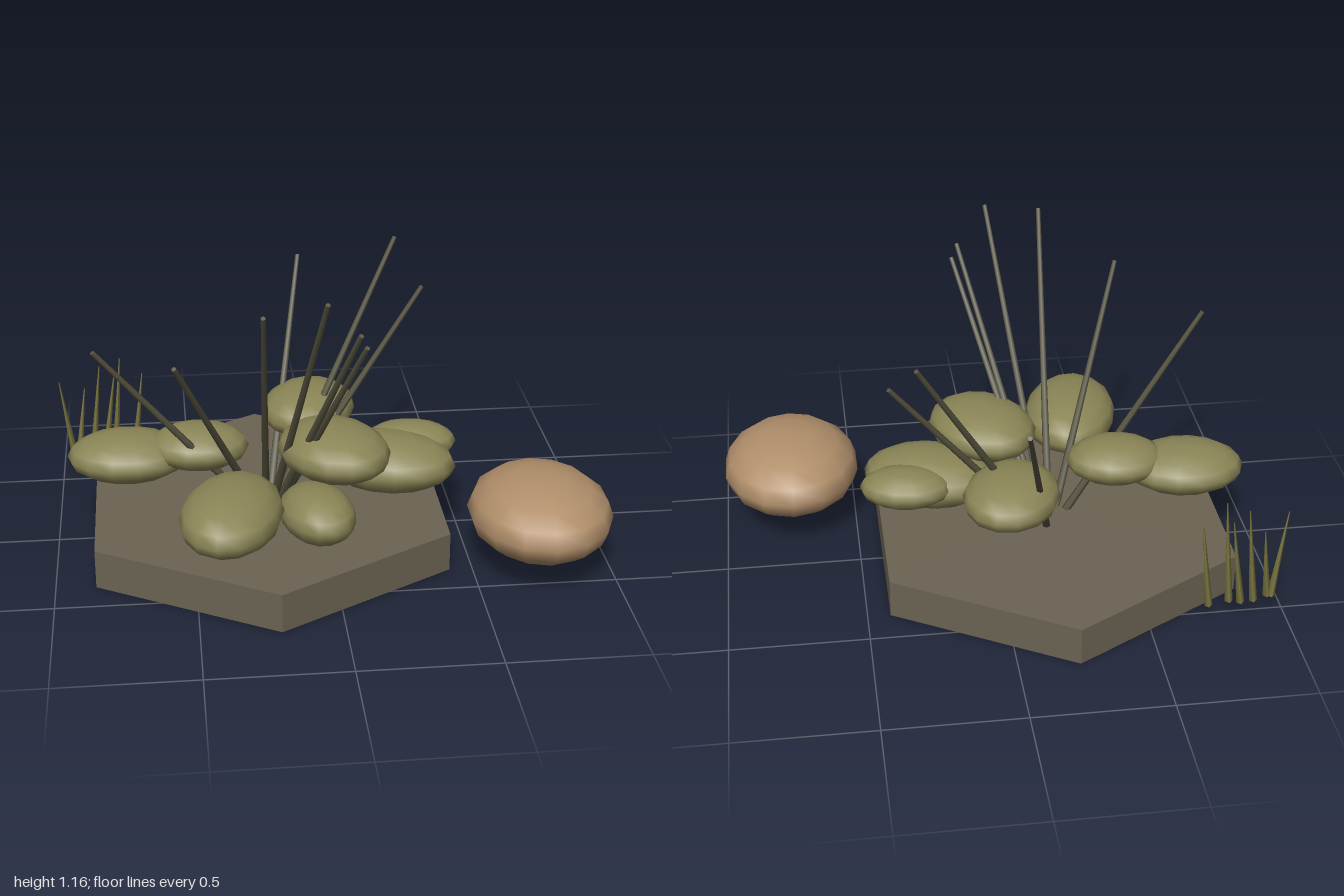
import * as THREE from 'three';

const mat = (name, color, side = THREE.FrontSide) => {
  const m = new THREE.MeshStandardMaterial({ color, side });
  m.name = name;
  return m;
};

export function createModel() {
  const model = new THREE.Group();
  model.name = 'succulentOnSlab';
  const stone = mat('slabStone', 0x6b6353);
  const leafGreen = mat('oliveLeaf', 0x8a8556);
  const stalkDark = mat('darkStalk', 0x56533f);
  const bladeGreen = mat('dryGrass', 0x7d7842);
  const clay = mat('clayRock', 0xb08e6a);

  const add = (name, geometry, material, parent = model) => {
    const mesh = new THREE.Mesh(geometry, material);
    mesh.name = name;
    parent.add(mesh);
    return mesh;
  };
  const group = (name) => {
    const g = new THREE.Group();
    g.name = name;
    model.add(g);
    return g;
  };

  // Flattened ball, its long axis turned by an angle from +x towards +z
  const ball = new THREE.SphereGeometry(1, 14, 8);
  const pebble = (name, material, parent, [x, y, z, long, high, short, degrees]) => {
    const mesh = add(name, ball, material, parent);
    mesh.position.set(x, y, z);
    mesh.scale.set(long, high, short);
    mesh.rotation.y = -THREE.MathUtils.degToRad(degrees);
  };

  // Tapered rod between two points
  const rod = (name, material, parent, from, to, r0, r1, sides) => {
    const a = new THREE.Vector3(...from), b = new THREE.Vector3(...to);
    const dir = b.clone().sub(a);
    const mesh = add(name, new THREE.CylinderGeometry(r1, r0, dir.length(), sides), material, parent);
    mesh.position.copy(a).add(b).multiplyScalar(0.5);
    mesh.quaternion.setFromUnitVectors(new THREE.Vector3(0, 1, 0), dir.normalize());
  };

  // Hexagonal slab
  const flatStone = new THREE.CylinderGeometry(0.735, 0.735, 0.145, 6).toNonIndexed();
  flatStone.computeVertexNormals();
  add('hexagonSlab', flatStone, stone).position.set(-0.22, 0.0725, 0);

  // Fleshy leaves: x, y, z, long, high, short radius, heading
  const leaves = group('leaves');
  [
    [-0.73, 0.333, -0.015, 0.222, 0.09, 0.162, 3],
    [-0.47, 0.37, 0.005, 0.186, 0.082, 0.142, 3],
    [-0.372, 0.317, 0.46, 0.267, 0.107, 0.18, 104],
    [-0.07, 0.288, 0.425, 0.18, 0.094, 0.13, 75],
    [0.01, 0.428, 0.21, 0.228, 0.098, 0.188, 57],
    [0.225, 0.31, 0.08, 0.252, 0.104, 0.175, 17],
    [0.325, 0.335, -0.037, 0.17, 0.072, 0.112, 8],
    [-0.042, 0.397, -0.24, 0.212, 0.09, 0.175, -67],
  ].forEach((leaf) => pebble('leaf', leafGreen, leaves, leaf));

  // Loose rock beside the slab
  pebble('rock', clay, model, [0.74, 0.222, 0.363, 0.31, 0.146, 0.26, 90]);

  // Long stalks: foot x, z, then tip x, y, z
  const stalks = group('stalks');
  [
    [-0.288, 0.03, -0.83, 0.85, 0.235],
    [-0.255, 0.06, -0.555, 0.92, 0.57],
    [-0.227, 0.065, -0.265, 1.12, 0.655],
    [-0.205, 0.065, -0.055, 1.152, 0.64],
    [-0.185, 0.06, 0.06, 1.02, 0.59],
    [-0.175, 0.05, 0.082, 0.97, 0.575],
    [-0.2, -0.067, -0.045, 0.87, -0.638],
    [-0.165, -0.04, 0.305, 1.015, -0.398],
    [-0.152, -0.018, 0.39, 0.868, -0.25],
  ].forEach(([fx, fz, x, y, z]) =>
    rod('stalk', stalkDark, stalks, [fx, 0.14, fz], [x, y, z], 0.016, 0.009, 6));

  // Grass tuft behind the slab: foot x, z, then tip x, y, z
  const grass = group('grassTuft');
  [
    [-0.948, -0.525, -0.995, 0.42, -0.507],
    [-0.935, -0.52, -0.9, 0.37, -0.553],
    [-0.878, -0.545, -0.838, 0.465, -0.553],
    [-0.83, -0.55, -0.78, 0.43, -0.565],
    [-0.79, -0.538, -0.757, 0.498, -0.543],
    [-0.712, -0.555, -0.672, 0.42, -0.567],
  ].forEach(([fx, fz, x, y, z]) =>
    rod('grassBlade', bladeGreen, grass, [fx, 0.075, fz], [x, y, z], 0.015, 0.002, 4));

  return model;
}
